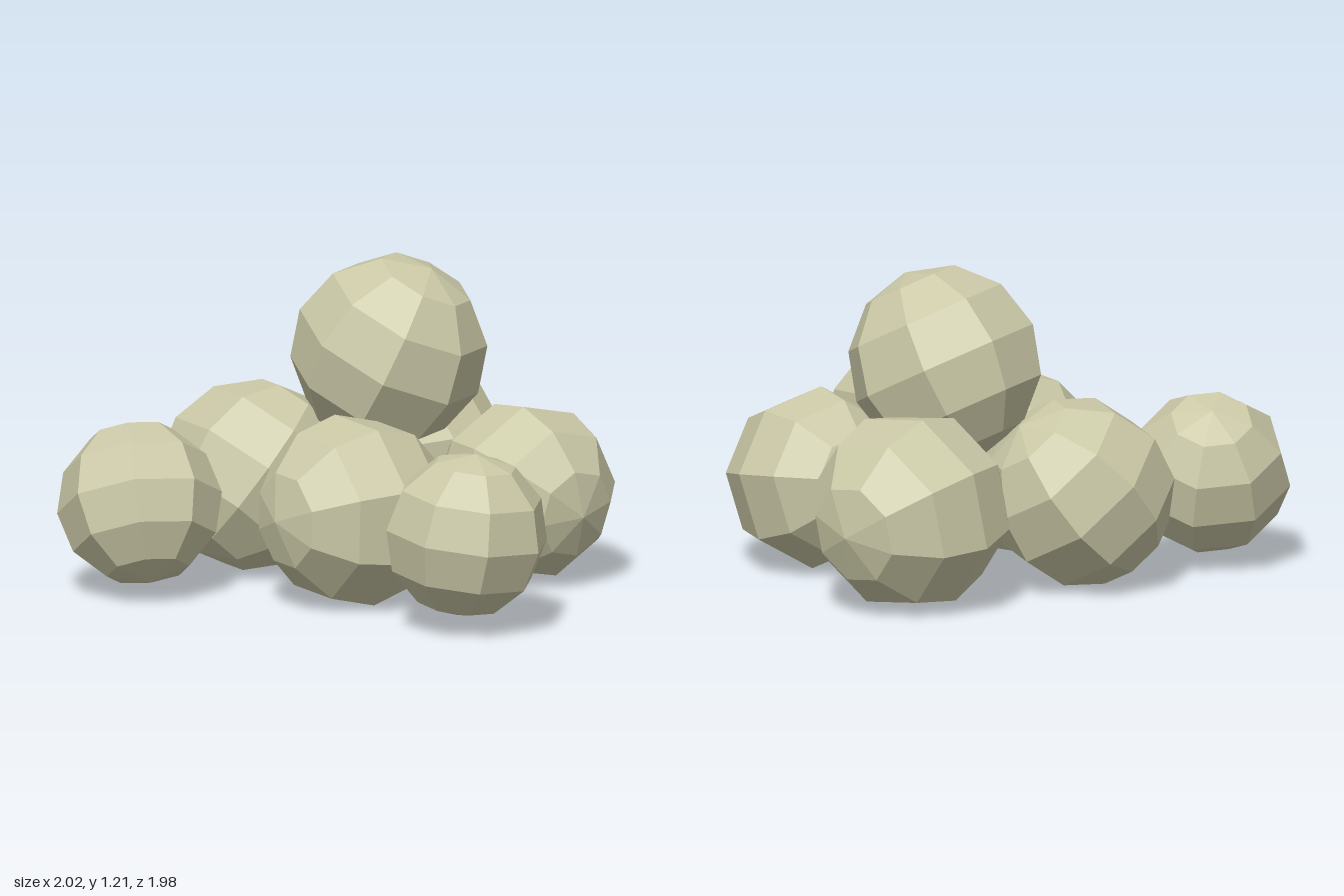
import * as THREE from 'three';

export function createModel() {
  const group = new THREE.Group();
  const stone = new THREE.MeshStandardMaterial({ color: 0xcac8a6, flatShading: true });
  stone.name = 'pale stone';

  // name, centre, radius, pole direction, spin about the pole
  const balls = [
    ['backRightBall', [-0.70, 0.37, -0.55], 0.315, [0.2, 0.85, -0.45], 0.1],
    ['backMiddleBall', [-0.09, 0.38, -0.64], 0.365, [0.65, 0.75, 0.1], 0.2],
    ['backLeftBall', [0.63, 0.385, -0.62], 0.385, [0.92, -0.12, -0.35], 0.1],
    ['topBall', [0.315, 0.86, -0.32], 0.375, [0.25, 0.89, 0.38], 0.1],
    ['middleBall', [-0.135, 0.37, 0.05], 0.37, [1, 0, 0.04], 0.39],
    ['frontBall', [-0.10, 0.385, 0.70], 0.317, [0.07, 0.96, 0.1], 0.39],
    ['frontLeftBall', [0.62, 0.36, 0.13], 0.345, [0.05, -0.15, 1], 0.2],
  ];

  // Faceted balls, each tipped a different way
  const up = new THREE.Vector3(0, 1, 0);
  for (const [name, centre, radius, pole, spin] of balls) {
    const ball = new THREE.Mesh(new THREE.SphereGeometry(radius, 8, 6), stone);
    ball.name = name;
    ball.position.set(...centre);
    ball.quaternion.setFromUnitVectors(up, new THREE.Vector3(...pole).normalize());
    ball.rotateY(spin);
    group.add(ball);
  }
  return group;
}
